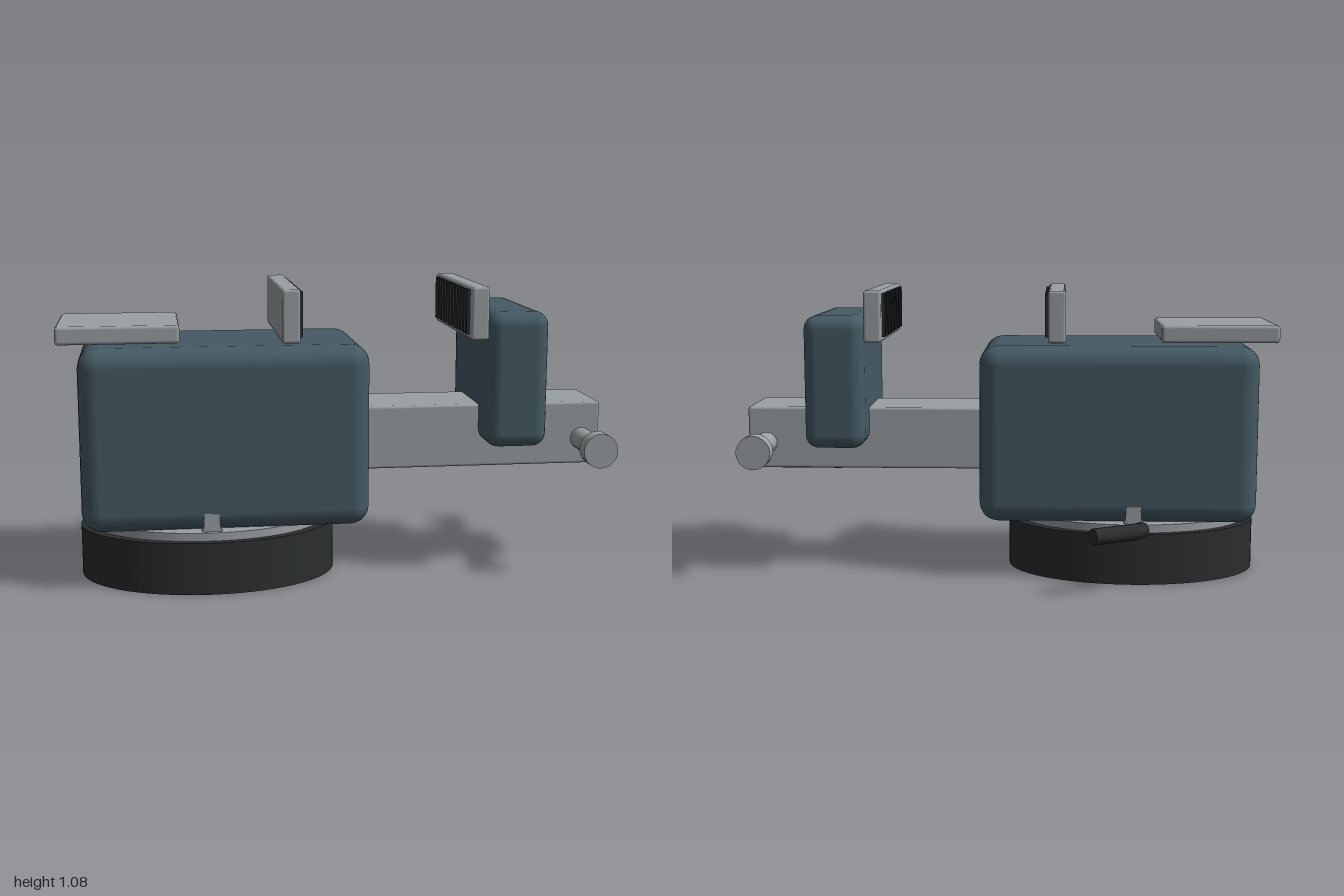
import * as THREE from 'three';
import { RoundedBoxGeometry } from 'three/addons/geometries/RoundedBoxGeometry.js';

const paint = new THREE.MeshStandardMaterial({ color: 0x455a64 });
const steel = new THREE.MeshStandardMaterial({ color: 0x9a9fa2 });
const dark = new THREE.MeshStandardMaterial({ color: 0x2b2e2f });
const MID = 0.08; // centre line of the vise in z

export function createModel() {
  const model = new THREE.Group();
  model.name = 'benchVise';

  const add = (name, geometry, material, x = 0, y = 0, z = 0) => {
    const mesh = new THREE.Mesh(geometry, material);
    mesh.name = name;
    mesh.position.set(x, y, z);
    model.add(mesh);
    return mesh;
  };
  // rounded block given by its lower and upper limits
  const block = (name, material, [x0, x1], [y0, y1], [z0, z1], radius, segments = 3) =>
    add(name, new RoundedBoxGeometry(x1 - x0, y1 - y0, z1 - z0, segments, radius), material,
      (x0 + x1) / 2, (y0 + y1) / 2, (z0 + z1) / 2);
  // cylinder between two points
  const rod = (name, material, a, b, radius, sides = 32) => {
    const from = new THREE.Vector3(...a), axis = new THREE.Vector3(...b).sub(from);
    const mesh = add(name, new THREE.CylinderGeometry(radius, radius, axis.length(), sides), material);
    mesh.position.copy(from).addScaledVector(axis, 0.5);
    mesh.quaternion.setFromUnitVectors(new THREE.Vector3(0, 1, 0), axis.normalize());
    return mesh;
  };

  // oval swivel base and the turntable on it
  const oval = (name, material, rx, rz, y0, y1) =>
    add(name, new THREE.CylinderGeometry(1, 1, y1 - y0, 64), material, -0.467, (y0 + y1) / 2, MID)
      .scale.set(rx, 1, rz);
  oval('swivelBase', dark, 0.473, 0.346, 0, 0.19);
  oval('turntable', steel, 0.436, 0.319, 0.19, 0.22);

  // tapered lug crossing under the body
  const lugShape = new THREE.Shape([[-0.045, 0.2], [0.045, 0.2], [0.03, 0.235], [0.027, 0.285], [-0.027, 0.285], [-0.03, 0.235]]
    .map(([x, y]) => new THREE.Vector2(x, y)));
  add('swivelLug', new THREE.ExtrudeGeometry(lugShape, { depth: 0.602, bevelEnabled: false }), steel,
    -0.465, 0, MID - 0.301);

  // cranked locking lever at the back
  const lever = [[-0.495, 0.197, -0.22], [-0.468, 0.223, -0.36], [-0.31, 0.223, -0.45]];
  rod('lockLever', dark, lever[0], lever[1], 0.03, 16);
  rod('lockLeverGrip', dark, lever[1], lever[2], 0.03, 16);
  add('lockLeverBend', new THREE.SphereGeometry(0.03, 16, 12), dark, ...lever[1]);

  // fixed body, sliding bar, moving jaw and anvil
  block('body', paint, [-0.925, 0.11], [0.215, 0.875], [-0.218, 0.378], 0.07);
  block('slideBar', steel, [0, 1], [0.395, 0.63], [-0.065, 0.225], 0.01, 2);
  block('movingJaw', paint, [0.535, 0.76], [0.49, 0.985], [-0.213, 0.373], 0.05);
  block('anvilPlate', steel, [-1, -0.565], [0.885, 0.95], [-0.14, 0.295], 0.012, 2);

  // jaw plates, ribbed on the faces that meet
  for (const [name, x0, x1, ribX] of [['fixedJaw', -0.21, -0.145, -0.14], ['slidingJaw', 0.465, 0.53, 0.46]]) {
    block(name + 'Plate', steel, [x0, x1], [0.89, 1.08], [MID - 0.305, MID + 0.305], 0.01, 2);
    for (let i = 0; i < 12; i++)
      add(name + 'Rib', new THREE.BoxGeometry(0.012, 0.16, 0.024), dark, ribX, 0.988, MID + (i - 5.5) * 0.047);
  }

  // screw showing below the slide bar
  rod('screw', dark, [0.665, 0.44, MID], [0.9, 0.44, MID], 0.07);

  // turning handle with its end caps
  rod('handle', steel, [0.932, 0.491, MID - 0.36], [0.932, 0.491, MID + 0.36], 0.041);
  for (const side of [-1, 1])
    rod('handleCap', steel, [0.932, 0.491, MID + side * 0.325], [0.932, 0.491, MID + side * 0.383], 0.063);

  return model;
}
